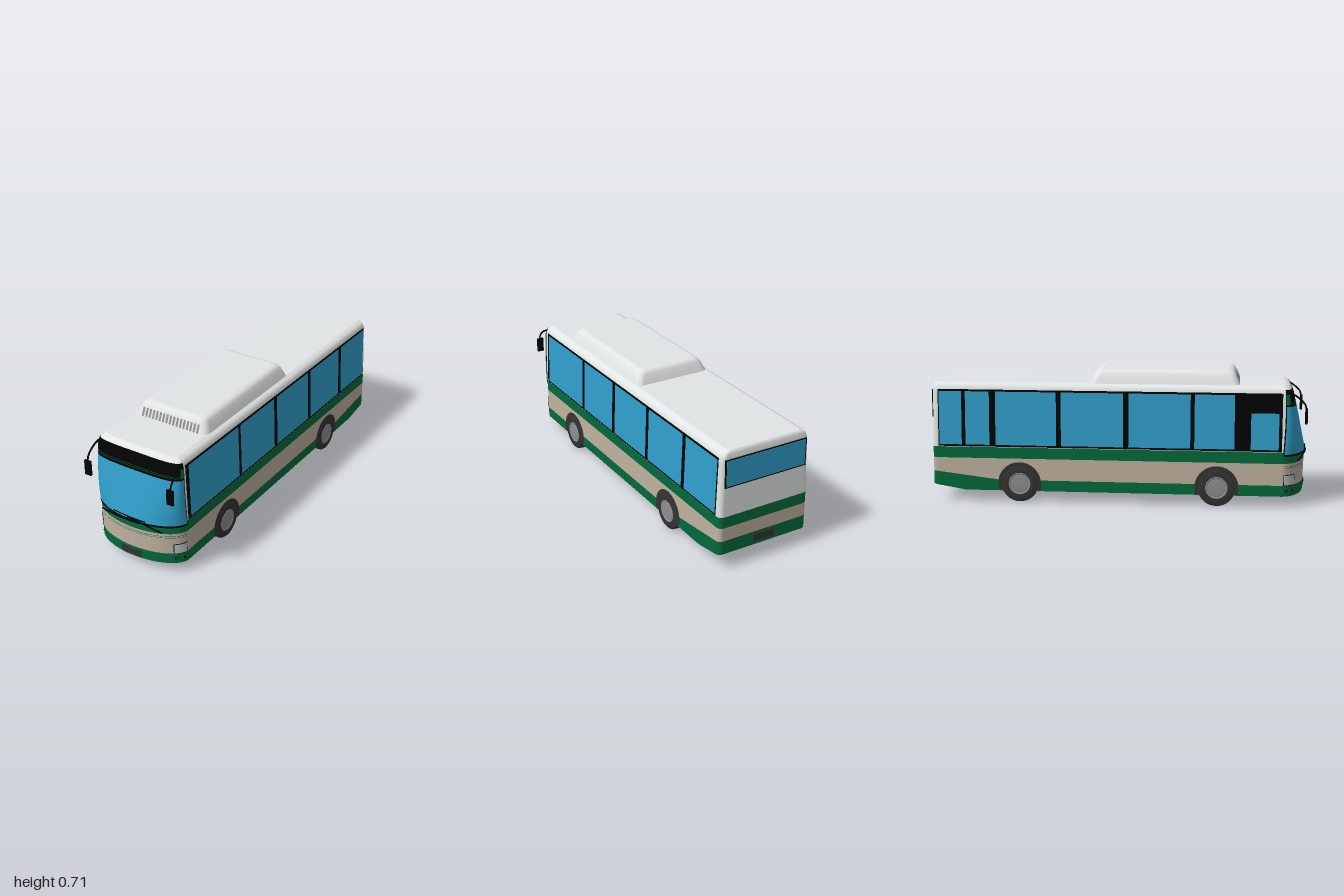
import * as THREE from 'three';

const mat = (name, color) => {
  const m = new THREE.MeshStandardMaterial({ color, side: THREE.DoubleSide });
  m.name = name;
  return m;
};
const M = {
  white: mat('white paint', 0xe2e5e5), green: mat('green paint', 0x03693c),
  beige: mat('beige paint', 0xc0b2a0), black: mat('black trim', 0x030303),
  glass: mat('blue glass', 0x31a0cd), dark: mat('dark rubber', 0x343332),
  rim: mat('wheel grey', 0x8c8e90), floor: mat('floor grey', 0xd8dadc),
  lamp: mat('lamp lens', 0xc0c4c8),
};

// Body sections: y, half width, front centre z, front corner z, rear z, squareness of the nose
const SECTIONS = [
  [0.06, 0.26, 0.985, 0.86, -0.997, 2], [0.28, 0.26, 0.99, 0.86, -0.997, 2],
  [0.30, 0.26, 0.985, 0.86, -0.997, 2.1], [0.60, 0.25, 0.92, 0.86, -0.993, 4],
  [0.62, 0.243, 0.912, 0.86, -0.99, 4], [0.632, 0.232, 0.9, 0.855, -0.987, 4],
  [0.64, 0.212, 0.88, 0.85, -0.98, 4],
];
function section(y) {
  let i = 0;
  while (i < SECTIONS.length - 2 && y > SECTIONS[i + 1][0]) i++;
  const a = SECTIONS[i], b = SECTIONS[i + 1];
  const t = THREE.MathUtils.clamp((y - a[0]) / (b[0] - a[0]), 0, 1);
  const [, w, zf, zc, zr, p] = a.map((v, k) => v + (b[k] - v) * t);
  return { w, zf, zc, zr, p };
}
// Point on the bowed nose at angle t (0 = centre, +-PI/2 = corner)
function nose(t, y, off = 0) {
  const s = section(y), e = 2 / s.p;
  const x = Math.sign(t) * (s.w + off) * Math.pow(Math.abs(Math.sin(t)), e);
  return [x, y, s.zc + (s.zf + off - s.zc) * Math.pow(Math.max(0, Math.cos(t)), e)];
}
function noseAtX(x, y, off) {
  const s = section(y);
  return new THREE.Vector3(...nose(Math.sign(x) * Math.asin(Math.pow(Math.abs(x) / s.w, s.p / 2)), y, off));
}
// The lower bands sweep upward behind the rear axle
function lift(y, z) {
  const ramp = (from) => THREE.MathUtils.clamp((from - z) / (1 + from), 0, 1);
  if (y < 0.07) return y + 0.03 * ramp(-0.82);
  return y < 0.13 ? y + 0.045 * ramp(-0.63) : y;
}
// Closed outline: rear centre, round one side to the nose, back along the other
function outline(y) {
  const s = section(y), r = 0.025, pts = [[0, y, s.zr], [s.w * 0.5, y, s.zr]];
  for (let i = 0; i <= 5; i++) {
    const a = (i / 5) * Math.PI / 2;
    pts.push([s.w - r + r * Math.sin(a), y, s.zr + r - r * Math.cos(a)]);
  }
  for (const z of [-0.9, -0.82, -0.63, 0, 0.8]) pts.push([s.w, y, z]);
  for (let i = 0; i <= 28; i++) pts.push(nose((1 - i / 28) * Math.PI / 2, y));
  pts.forEach((p) => { p[1] = lift(y, p[2]); });
  return pts.concat(pts.slice(1, -1).reverse().map(([x, h, z]) => [-x, h, z]), [pts[0].slice()]);
}
// Surface through a list of point rows
function skin(rows) {
  const n = rows[0].length, idx = [];
  for (let j = 0; j < rows.length - 1; j++) for (let i = 0; i < n - 1; i++) {
    const a = j * n + i, b = a + n;
    idx.push(a, b, a + 1, a + 1, b, b + 1);
  }
  const g = new THREE.BufferGeometry();
  g.setAttribute('position', new THREE.Float32BufferAttribute(rows.flat(2), 3));
  g.setIndex(idx);
  g.computeVertexNormals();
  return g;
}
const steps = (a, b, n) => Array.from({ length: n + 1 }, (_, i) => a + (b - a) * i / n);

export function createModel() {
  const bus = new THREE.Group();
  bus.name = 'bus';
  const add = (name, geo, m, parent = bus) => {
    const mesh = new THREE.Mesh(geo, m);
    mesh.name = name;
    parent.add(mesh);
    return mesh;
  };
  const box = (name, w, h, d, x, y, z, m) => add(name, new THREE.BoxGeometry(w, h, d), m).position.set(x, y, z);
  const tube = (name, pts, r) => add(name, new THREE.TubeGeometry(new THREE.CatmullRomCurve3(pts), 16, r, 6), M.black);
  const nosePanel = (name, t0, t1, y0, y1, off, m) => add(name,
    skin(steps(y0, y1, Math.max(1, Math.ceil((y1 - y0) / 0.015))).map((y) => steps(t0, t1, 40).map((t) => nose(t, y, off)))), m);
  const sidePanel = (name, side, z0, z1, y0, y1, off, m) => add(name,
    skin([y0, y1].map((y) => [z0, z1].map((z) => [side * (section(y).w + off), y, z]))), m);

  // Painted body bands
  const band = (name, ys, m) => add(name, skin(ys.map(outline)), m);
  band('lowerBand', [0.06, 0.118], M.green);
  band('middleBand', [0.118, 0.235], M.beige);
  band('waistBand', [0.235, 0.28, 0.295], M.green);
  band('upperBody', [0.295, ...steps(0.3, 0.6, 16), 0.61, 0.62, 0.626, 0.632, 0.637, 0.64], M.white);
  const cap = (name, y, m) => {
    const o = outline(y);
    add(name, skin([o, o.map(([, h, z]) => [0, h, z])]), m);
  };
  cap('floor', 0.06, M.floor);
  cap('roof', 0.64, M.white);

  // Windscreen, black surround and nose trim
  nosePanel('windscreenSurround', -1.5, 1.5, 0.275, 0.622, 0.003, M.black);
  nosePanel('windscreen', -1.46, 1.46, 0.284, 0.535, 0.005, M.glass);
  nosePanel('windscreenSill', -1.45, 1.45, 0.274, 0.283, 0.006, M.black);
  for (const y of [0.547, 0.555]) nosePanel('headerStripe', -1.45, 1.45, y, y + 0.0025, 0.005, M.green);
  for (const y of [0.211, 0.22]) nosePanel('noseStripe', -1.45, 1.45, y, y + 0.002, 0.002, M.green);
  for (const s of [-1, 1]) {
    nosePanel('headerCorner', s * 1.25, s * 1.5, 0.545, 0.598, 0.005, M.green);
    nosePanel('headlightFrame', s * 0.98, s * 1.47, 0.118, 0.175, 0.002, M.black);
    nosePanel('headlight', s * 1.0, s * 1.44, 0.121, 0.172, 0.004, M.lamp);
    nosePanel('fogLightFrame', s * 1.0, s * 1.12, 0.081, 0.095, 0.002, M.black);
    nosePanel('fogLight', s * 1.015, s * 1.105, 0.0835, 0.0925, 0.004, M.green);
    nosePanel('cornerReflector', s * 1.29, s * 1.38, 0.082, 0.094, 0.002, M.black);
  }
  nosePanel('frontPlate', -0.233, 0.233, 0.066, 0.108, 0.006, M.dark);

  // Side windows as [rear z, front z, optional top]; the right side carries the door
  const windows = {
    '1': [[0.406, 0.84], [0.059, 0.385], [-0.3, 0.03], [-0.652, -0.326], [-0.957, -0.68]],
    '-1': [[-0.957, -0.835], [-0.815, -0.685], [-0.652, -0.326], [-0.3, 0.03], [0.059, 0.385], [0.406, 0.615], [0.7, 0.845, 0.5]],
  };
  for (const s of [-1, 1]) {
    sidePanel('sideWindowFrame', s, -0.963, 0.862, 0.298, 0.604, 0.002, M.black);
    for (const [z0, z1, top = 0.594] of windows[s]) sidePanel('sideWindow', s, z0, z1, 0.308, top, 0.004, M.glass);
  }

  // Rear window and plate
  box('rearWindowFrame', 0.47, 0.148, 0.006, 0, 0.525, -0.995, M.black);
  box('rearWindow', 0.455, 0.136, 0.006, 0, 0.526, -0.997, M.glass);
  box('rearPlate', 0.12, 0.042, 0.006, 0, 0.128, -0.997, M.dark);

  // Roof unit: stacked rounded rectangles with a sloped rim
  const unitRing = (y, inset) => {
    const w = 0.217 - inset, d = 0.395 - inset, r = 0.035, ring = [];
    [[1, 1], [-1, 1], [-1, -1], [1, -1]].forEach(([sx, sz], q) => {
      for (const a of steps(q * Math.PI / 2, (q + 1) * Math.PI / 2, 5)) {
        ring.push([sx * (w - r) + r * Math.cos(a), y, 0.245 + sz * (d - r) + r * Math.sin(a)]);
      }
    });
    return [...ring, ring[0]];
  };
  const rings = [[0.636, 0], [0.65, 0.006], [0.67, 0.014], [0.69, 0.024], [0.7, 0.031], [0.707, 0.041], [0.71, 0.056]];
  add('roofUnit', skin(rings.map(([y, i]) => unitRing(y, i))), M.white);
  const top = unitRing(0.71, 0.056);
  add('roofUnitTop', skin([top, top.map(([, y, z]) => [0, y, z])]), M.white);
  for (const x of steps(-0.165, 0.165, 16)) {
    add('roofUnitSlot', skin([[0.641, 0.6395], [0.665, 0.6295], [0.683, 0.622]]
      .map(([y, z]) => [[x - 0.006, y, z], [x + 0.006, y, z]])), M.rim);
  }

  // Mirrors on slanting arms
  for (const s of [-1, 1]) {
    tube('mirrorArm', [[0.238, 0.61, 0.888], [0.245, 0.595, 0.925], [0.249, 0.55, 0.975], [0.249, 0.51, 0.984]]
      .map(([x, y, z]) => new THREE.Vector3(s * x, y, z)), 0.005);
    box('mirror', 0.037, 0.08, 0.012, s * 0.247, 0.487, 0.984, M.black);
  }

  // Wipers resting on the windscreen
  const onNose = (pts) => pts.map(([x, y]) => noseAtX(x, y, 0.007));
  tube('wiperArm', onNose([[-0.2, 0.243], [-0.1, 0.27], [-0.02, 0.275], [0.06, 0.276]]), 0.004);
  tube('wiperArm', onNose([[0.17, 0.243], [0.1, 0.271], [0.05, 0.286], [-0.01, 0.291]]), 0.004);
  tube('wiperBlade', onNose([[-0.1, 0.292], [0, 0.294], [0.09, 0.29]]), 0.003);

  // Wheels, arches and wells
  const lathe = (pts) => new THREE.LatheGeometry(pts.map(([r, y]) => new THREE.Vector2(r, y)), 36);
  const tyre = lathe([[0, -0.028], [0.05, -0.03], [0.092, -0.03], [0.099, -0.022], [0.1, 0], [0.099, 0.022], [0.092, 0.03], [0.062, 0.031], [0.056, 0.029]]);
  const rim = lathe([[0.06, 0.029], [0.058, 0.032], [0.054, 0.032], [0.05, 0.0285], [0.046, 0.0285], [0.042, 0.031], [0, 0.031]]);
  const arch = new THREE.CircleGeometry(0.116, 36, -0.355, Math.PI + 0.71);
  for (const s of [-1, 1]) for (const z of [0.525, -0.525]) {
    const wheel = new THREE.Group();
    wheel.name = 'wheel';
    wheel.position.set(s * 0.235, 0.1, z);
    wheel.rotation.z = -s * Math.PI / 2;
    add('tyre', tyre, M.dark, wheel);
    add('rim', rim, M.rim, wheel);
    bus.add(wheel);
    const plate = add('wheelArch', arch, M.dark);
    plate.position.set(s * 0.2615, 0.1, z);
    plate.rotation.y = s * Math.PI / 2;
    box('wheelWell', 0.11, 0.004, 0.21, s * 0.204, 0.059, z, M.rim);
  }
  return bus;
}
